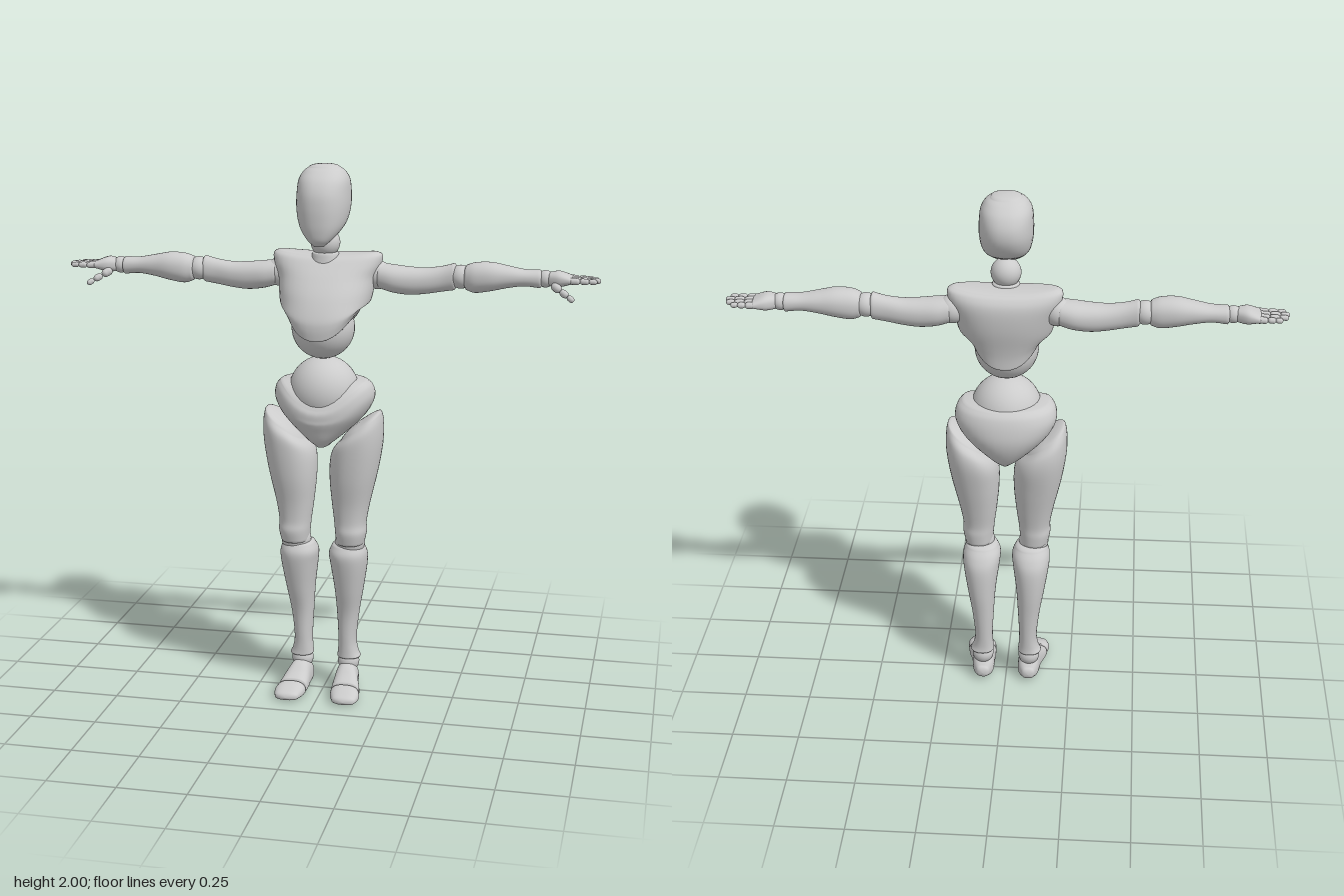
import * as THREE from 'three';

const { smoothstep } = THREE.MathUtils;
const RING = 40, STEPS = 5;
const material = new THREE.MeshStandardMaterial({ color: 0xcccccc });

// Catmull-Rom value between b and c
const cubic = (a, b, c, d, t) =>
  b + 0.5 * t * (c - a + t * (2 * a - 5 * b + 4 * c - d + t * (3 * (b - c) + d - a)));

// Smooth closed skin over rounded cross-sections along an axis.
// Section: [h, u0, u1, v0, v1, vMid?]; (u,v) is (x,z) along y, (y,z) along x, (x,y) along z.
function loft(sections, { axis = 'y', power = 2.2, cap = [0.01, 0.01], bend = () => 0 } = {}) {
  const full = sections.map(s => [...s.slice(0, 5), s[5] ?? (s[3] + s[4]) / 2]);
  const at = i => full[Math.min(Math.max(i, 0), full.length - 1)];
  const rows = [];
  for (let i = 0; i < full.length - 1; i++)
    for (let k = 0; k < STEPS; k++)
      rows.push({ s: at(i).map((v, c) => cubic(at(i - 1)[c], v, at(i + 1)[c], at(i + 2)[c], k / STEPS)), k: 1, off: 0 });
  rows.push({ s: at(full.length - 1), k: 1, off: 0 });
  // domed ends
  const first = rows[0].s, last = rows[rows.length - 1].s;
  for (let i = 1; i <= 5; i++) {
    const a = i / 5 * Math.PI / 2, k = Math.max(Math.cos(a), 0.001);
    rows.unshift({ s: first, k, off: -cap[0] * Math.sin(a) });
    rows.push({ s: last, k, off: cap[1] * Math.sin(a) });
  }
  const pos = [], index = [];
  const soft = v => Math.sign(v) * Math.abs(v) ** (2 / power);
  rows.forEach(({ s: [h, u0, u1, v0, v1, vm], k, off }, r) => {
    for (let j = 0; j < RING; j++) {
      const a = j / RING * Math.PI * 2, c = Math.cos(a), s = Math.sin(a);
      const u = (u0 + u1) / 2 + (u1 - u0) / 2 * soft(c) * k;
      const v = vm + (s > 0 ? v1 - vm : vm - v0) * soft(s) * k;
      const y = h + off + bend(h, c * k, s * k);
      pos.push(...(axis === 'y' ? [u, y, v] : axis === 'x' ? [y, u, v] : [u, v, y]));
      if (r === rows.length - 1) continue;
      const A = r * RING + j, B = r * RING + (j + 1) % RING, C = A + RING, D = B + RING;
      index.push(...(axis === 'y' ? [A, C, B, B, C, D] : [A, B, C, B, D, C]));
    }
  });
  const g = new THREE.BufferGeometry();
  g.setAttribute('position', new THREE.Float32BufferAttribute(pos, 3));
  g.setIndex(index);
  g.computeVertexNormals();
  return g;
}

const ball = (x, y, z, r) => new THREE.SphereGeometry(r, 36, 24).translate(x, y, z);

// Rounded finger bone from a to b
function bone(a, b, r) {
  const p = new THREE.Vector3(...a), d = new THREE.Vector3(...b).sub(p);
  const turn = new THREE.Quaternion().setFromUnitVectors(new THREE.Vector3(0, 1, 0), d.clone().normalize());
  return new THREE.CapsuleGeometry(r, Math.max(d.length() - 2 * r, 0.001), 5, 12)
    .applyQuaternion(turn).translate(p.x + d.x / 2, p.y + d.y / 2, p.z + d.z / 2);
}

function mirrored(g) {
  const m = g.clone().scale(-1, 1, 1), ix = m.index.array;
  for (let i = 0; i < ix.length; i += 3) [ix[i], ix[i + 1]] = [ix[i + 1], ix[i]];
  return m;
}

export function createModel() {
  const model = new THREE.Group();
  model.name = 'jointedFigure';
  const add = (name, g) => {
    const mesh = new THREE.Mesh(g, material);
    mesh.name = name;
    model.add(mesh);
  };
  const pair = (name, g) => {
    add('left' + name, g);
    add('right' + name, mirrored(g));
  };

  // Head and neck
  add('head', loft([
    [1.718, -0.022, 0.022, 0.055, 0.095], [1.735, -0.042, 0.042, 0.02, 0.111],
    [1.765, -0.068, 0.068, -0.045, 0.119], [1.8, -0.086, 0.086, -0.108, 0.123],
    [1.85, -0.095, 0.095, -0.142, 0.124], [1.9, -0.095, 0.095, -0.148, 0.117],
    [1.945, -0.09, 0.09, -0.13, 0.094], [1.975, -0.073, 0.073, -0.098, 0.06],
    [1.988, -0.055, 0.055, -0.073, 0.036]], { power: 2.3, cap: [0.006, 0.012] }));
  add('neckBall', ball(0, 1.715, -0.035, 0.054));
  add('neckBase', loft([[1.62, -0.06, 0.06, -0.1, 0.02], [1.675, -0.048, 0.048, -0.085, 0.012]]));

  // Chest: lower rim arches up at the sides, shoulders rise a little
  add('chest', loft([
    [1.38, -0.128, 0.128, -0.137, 0.143, -0.01], [1.42, -0.145, 0.145, -0.14, 0.147, -0.015],
    [1.46, -0.158, 0.158, -0.147, 0.141, -0.03], [1.53, -0.172, 0.172, -0.163, 0.108, -0.055],
    [1.59, -0.182, 0.182, -0.169, 0.065, -0.08], [1.63, -0.2, 0.2, -0.165, 0.03, -0.085],
    [1.655, -0.202, 0.202, -0.15, 0.005, -0.085], [1.665, -0.185, 0.185, -0.135, -0.015, -0.08]], {
    power: 2.25, cap: [0.004, 0.008],
    bend: (h, c) => c * c * (0.09 * (1 - smoothstep(h, 1.38, 1.52)) + 0.014 * smoothstep(h, 1.6, 1.665)) }));
  add('abdomenBall', ball(0, 1.41, 0.003, 0.116));
  add('waistBall', ball(0, 1.17, -0.01, 0.13));

  // Pelvis: tapers to the crotch, upper rim dips at the front
  add('pelvis', loft([
    [0.972, -0.028, 0.028, -0.1, 0.065, -0.01], [1.0, -0.065, 0.065, -0.135, 0.097, -0.02],
    [1.05, -0.122, 0.122, -0.163, 0.118, -0.03], [1.1, -0.165, 0.165, -0.175, 0.127, -0.035],
    [1.15, -0.186, 0.186, -0.171, 0.128, -0.035], [1.19, -0.179, 0.179, -0.158, 0.128, -0.03],
    [1.21, -0.16, 0.16, -0.14, 0.12, -0.02]], {
    power: 2.15, cap: [0.01, 0.008],
    bend: (h, c, s) => -0.09 * Math.max(s, 0) ** 3 * smoothstep(h, 1.02, 1.21) }));

  // Legs
  pair('Thigh', loft([
    [0.6, 0.053, 0.158, -0.058, 0.072], [0.64, 0.049, 0.166, -0.062, 0.08],
    [0.68, 0.045, 0.165, -0.063, 0.076], [0.75, 0.036, 0.177, -0.077, 0.082],
    [0.85, 0.027, 0.2, -0.1, 0.1], [0.95, 0.029, 0.222, -0.12, 0.11],
    [1.01, 0.042, 0.224, -0.117, 0.109], [1.045, 0.07, 0.217, -0.093, 0.09]], {
    cap: [0.015, 0.022],
    bend: (h, c) => 0.055 * c * smoothstep(h, 0.85, 1.045) }));
  pair('KneeBall', ball(0.103, 0.597, 0.005, 0.056));
  pair('Shin', loft([
    [0.125, 0.047, 0.137, -0.087, 0.002], [0.15, 0.05, 0.126, -0.086, 0.002],
    [0.2, 0.052, 0.12, -0.09, 0.005], [0.3, 0.047, 0.13, -0.1, 0.015],
    [0.4, 0.04, 0.147, -0.11, 0.042], [0.5, 0.027, 0.163, -0.11, 0.066],
    [0.55, 0.022, 0.165, -0.093, 0.072], [0.58, 0.033, 0.155, -0.07, 0.06]],
    { cap: [0.01, 0.018] }));
  pair('AnkleBall', ball(0.09, 0.102, -0.043, 0.041));
  pair('Foot', loft([
    [-0.083, 0.063, 0.115, 0.012, 0.06, 0.035], [-0.06, 0.05, 0.127, 0.002, 0.085, 0.035],
    [-0.03, 0.047, 0.132, 0, 0.102, 0.035], [0.01, 0.047, 0.138, 0.006, 0.1, 0.03],
    [0.05, 0.046, 0.15, 0.004, 0.075, 0.025], [0.08, 0.047, 0.156, 0, 0.06, 0.022]],
    { axis: 'z', power: 2.5, cap: [0.013, 0.008] }));
  pair('Toes', loft([
    [0.096, 0.048, 0.158, 0, 0.056, 0.02], [0.125, 0.052, 0.162, 0, 0.05, 0.018],
    [0.155, 0.064, 0.155, 0.002, 0.036, 0.016]],
    { axis: 'z', power: 2.5, cap: [0.006, 0.02] }));

  // Arms
  pair('ShoulderBall', ball(0.185, 1.593, -0.087, 0.052));
  pair('UpperArm', loft([
    [0.195, 1.545, 1.637, -0.14, -0.033], [0.24, 1.532, 1.633, -0.146, -0.027],
    [0.3, 1.525, 1.627, -0.14, -0.032], [0.36, 1.53, 1.625, -0.132, -0.04],
    [0.42, 1.54, 1.633, -0.125, -0.048], [0.465, 1.547, 1.645, -0.125, -0.047]],
    { axis: 'x', cap: [0.015, 0.012] }));
  pair('ElbowBall', ball(0.49, 1.597, -0.083, 0.043));
  pair('Forearm', loft([
    [0.515, 1.55, 1.643, -0.123, -0.035], [0.545, 1.542, 1.652, -0.13, -0.025],
    [0.6, 1.55, 1.654, -0.133, -0.023], [0.66, 1.563, 1.643, -0.128, -0.033],
    [0.72, 1.571, 1.632, -0.121, -0.043], [0.775, 1.566, 1.631, -0.121, -0.046]],
    { axis: 'x', cap: [0.014, 0.01] }));
  pair('WristBall', ball(0.795, 1.6, -0.083, 0.031));
  pair('Palm', loft([
    [0.812, 1.575, 1.625, -0.114, -0.05], [0.845, 1.573, 1.629, -0.132, -0.038],
    [0.885, 1.584, 1.615, -0.138, -0.036]], { axis: 'x', power: 2.5, cap: [0.008, 0.008] }));

  // Fingers, three bones each, and the thumb
  ['Index', 'Middle', 'Ring', 'Little'].forEach((name, i) => {
    const z = -0.05 - i * 0.025, tip = [0.98, 0.992, 0.986, 0.965][i];
    [0, 0.4, 0.72].forEach((t, k, starts) => {
      const x = q => 0.88 + (tip - 0.88) * q;
      pair(name + 'Finger' + (k + 1),
        bone([x(t) - 0.003, 1.6, z], [x(starts[k + 1] ?? 1), 1.598, z], 0.0122 - k * 0.0012));
    });
  });
  const thumb = [[0.822, 1.585, -0.052], [0.853, 1.566, -0.03], [0.88, 1.55, -0.013], [0.902, 1.536, 0.002]];
  for (let k = 0; k < 3; k++) pair('Thumb' + (k + 1), bone(thumb[k], thumb[k + 1], 0.0155 - k * 0.0025));

  return model;
}
